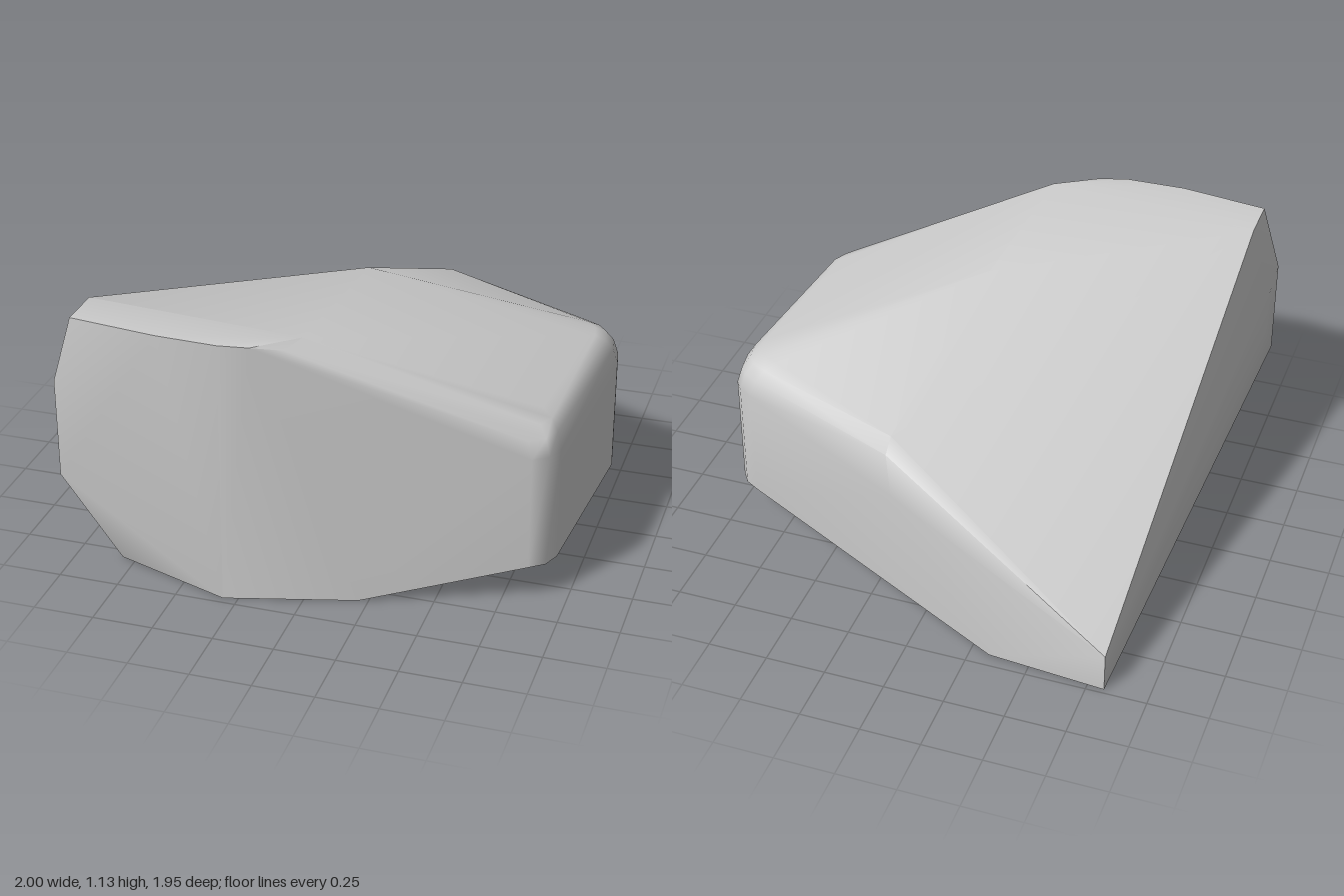
import * as THREE from 'three';
import { ConvexGeometry } from 'three/addons/geometries/ConvexGeometry.js';

// Area-weighted smooth normals that keep edges sharper than the given angle
function creaseNormals(geometry, angle) {
  const pos = geometry.attributes.position;
  const v = [0, 1, 2].map(() => new THREE.Vector3());
  const corners = new Map();
  const key = (p) => `${p.x.toFixed(4)},${p.y.toFixed(4)},${p.z.toFixed(4)}`;
  const faces = [];
  for (let i = 0; i < pos.count; i += 3) {
    v.forEach((p, k) => p.fromBufferAttribute(pos, i + k));
    const area = v[1].clone().sub(v[0]).cross(v[2].clone().sub(v[0]));
    const face = { area, unit: area.clone().normalize(), keys: v.map(key) };
    faces.push(face);
    for (const k of face.keys) corners.set(k, [...(corners.get(k) ?? []), face]);
  }
  const normals = [];
  for (const face of faces) {
    for (const k of face.keys) {
      const n = new THREE.Vector3();
      for (const other of corners.get(k)) {
        if (other.unit.dot(face.unit) > Math.cos(angle)) n.add(other.area);
      }
      normals.push(...n.normalize().toArray());
    }
  }
  geometry.setAttribute('normal', new THREE.Float32BufferAttribute(normals, 3));
  return geometry;
}

export function createModel() {
  const group = new THREE.Group();
  group.name = 'boulder';
  const stone = new THREE.MeshStandardMaterial({ color: 0xcccccc });
  stone.name = 'grey stone';

  const points = [
    // flat base
    [-0.82, 0, -0.98], [-0.81, 0, 0.8], [-0.31, 0, 0.97], [0.21, 0, 0.83], [-0.33, 0, -0.94],
    // low back corner
    [-0.82, 0.17, -0.98],
    // blunt left end
    [-1, 0.43, 0.93], [-1, 0.85, 0.93], [-1, 0.8, 0.78], [-1, 0.6, 0.78],
    // top plateau and front brow
    [-0.92, 1.13, 0.73], [-0.92, 1.13, 0.92], [-0.55, 1.13, 0.97], [-0.3, 1.125, 0.972],
    [-0.18, 1.12, 0.945], [-0.06, 1.1, 0.89], [-0.01, 1.13, 0.82], [0.03, 1.11, 0.1],
    // rounded back shoulder
    [0.17, 0.78, -0.68], [0.17, 0.73, -0.74], [0.13, 0.58, -0.8],
  ];

  // rounded right end: one outline repeated upwards, drawn in towards its centre
  const outline = [
    [0.85, 0.635], [0.91, 0.59], [0.94, 0.52], [1, -0.27], [0.985, -0.36], [0.95, -0.41], [0.89, -0.445],
  ];
  for (const [y, inset] of [[0.155, 0], [0.64, 0], [0.71, 0.02], [0.755, 0.05], [0.78, 0.09]]) {
    for (const [x, z] of outline) {
      points.push([x - inset, y, 0.1 + (z - 0.1) * (1 - inset * 1.6)]);
    }
  }

  const hull = new ConvexGeometry(points.map((p) => new THREE.Vector3(...p)));
  const rock = new THREE.Mesh(creaseNormals(hull, THREE.MathUtils.degToRad(36)), stone);
  rock.name = 'rock';
  group.add(rock);
  return group;
}
